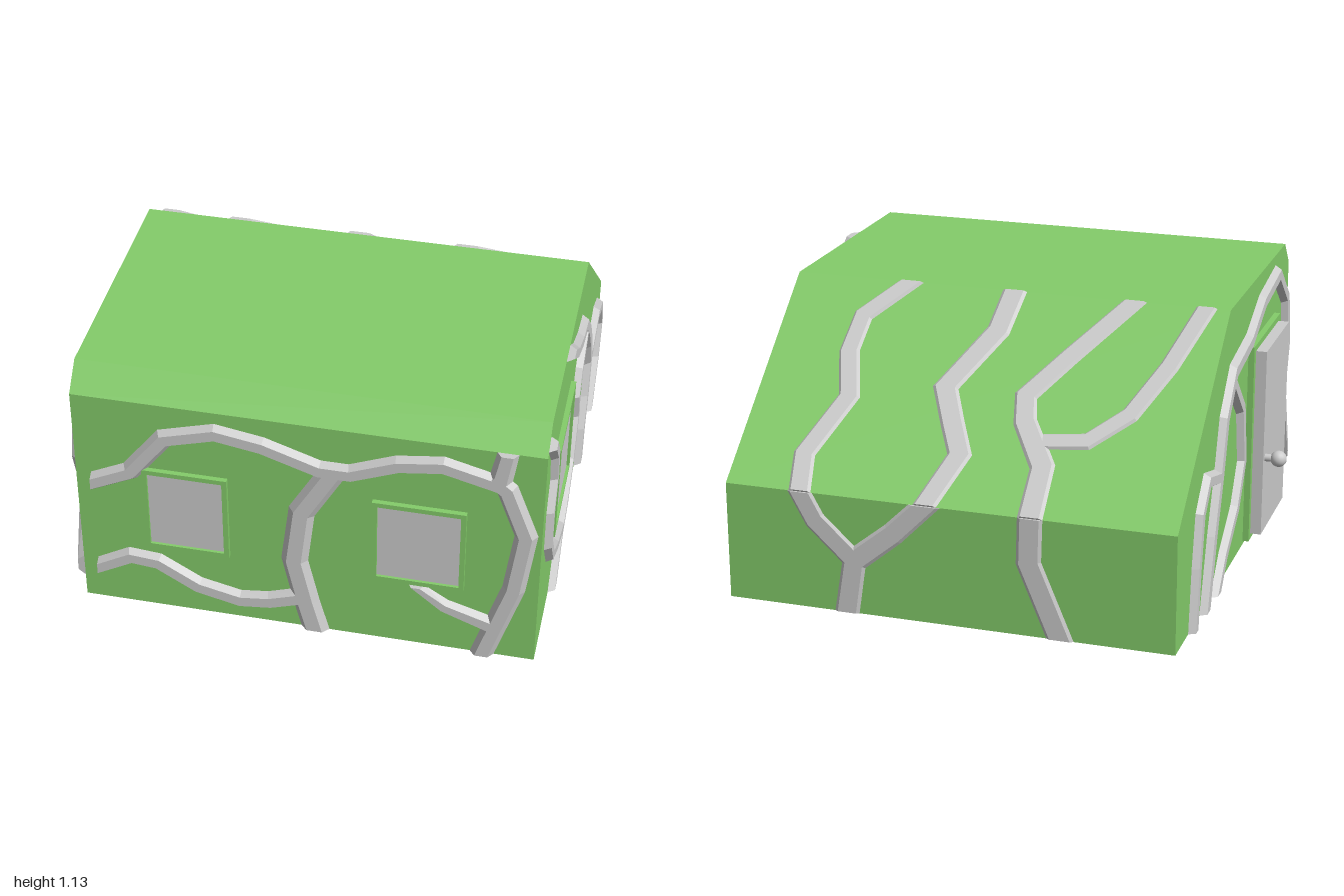
import * as THREE from 'three';

const green = new THREE.MeshStandardMaterial({ color: 0x84cc6a });
green.name = 'leafGreen';
const grey = new THREE.MeshStandardMaterial({ color: 0xcccccc });
grey.name = 'stoneGrey';

function add(parent, name, geometry, material, x = 0, y = 0, z = 0) {
  const mesh = new THREE.Mesh(geometry, material);
  mesh.name = name;
  mesh.position.set(x, y, z);
  parent.add(mesh);
  return mesh;
}

// Raised ribbon with bevelled sides along a 2D path; ends are cut square,
// horizontally ('h') or vertically ('v').
function vineGeometry(path, w0, w1, height, ratio, cutA, cutB) {
  const p = path.map(([x, y]) => new THREE.Vector2(x, y));
  const last = p.length - 1;
  const side = (i) => {
    const t = p[i + 1].clone().sub(p[i]).normalize();
    return new THREE.Vector2(-t.y, t.x);
  };
  const pos = [];
  p.forEach((c, i) => {
    const n = side(Math.min(i, last - 1));
    let d = n.clone();
    if (i > 0 && i < last) d.add(side(i - 1)).normalize();
    const cut = i === 0 ? cutA : i === last ? cutB : null;
    if (cut === 'h') d.set(Math.sign(n.x) || 1, 0);
    if (cut === 'v') d.set(0, Math.sign(n.y) || 1);
    const half = (w0 + (w1 - w0) * (i / last)) / 2;
    d.multiplyScalar(half / Math.max(0.6, d.dot(n)));
    for (const [s, z] of [[1, 0], [ratio, height], [-ratio, height], [-1, 0]]) {
      pos.push(c.x + d.x * s, c.y + d.y * s, z);
    }
  });
  const index = [];
  const quad = (a, b, c, d) => index.push(a, b, c, a, c, d);
  for (let i = 0; i < last; i++) {
    for (let j = 0; j < 3; j++) {
      const a = i * 4 + j;
      quad(a, a + 1, a + 5, a + 4);
    }
  }
  const e = last * 4;
  quad(0, 3, 2, 1);
  quad(e, e + 1, e + 2, e + 3);
  const indexed = new THREE.BufferGeometry();
  indexed.setAttribute('position', new THREE.Float32BufferAttribute(pos, 3));
  indexed.setIndex(index);
  const g = indexed.toNonIndexed();
  g.computeVertexNormals();
  return g;
}

// Green rim with a rectangular opening
function rimGeometry(w, h, border, depth) {
  const rect = (T, a, b) => new T([[-a, -b], [a, -b], [a, b], [-a, b]].map(([x, y]) => new THREE.Vector2(x, y)));
  const shape = rect(THREE.Shape, w / 2, h / 2);
  shape.holes.push(rect(THREE.Path, w / 2 - border, h / 2 - border));
  return new THREE.ExtrudeGeometry(shape, { depth, bevelEnabled: false });
}

function addWindow(wall, x, y, w, h) {
  const g = new THREE.Group();
  g.name = 'window';
  g.position.set(x, y, 0);
  add(g, 'windowFrame', rimGeometry(w, h, 0.02, 0.02), green);
  add(g, 'windowPane', new THREE.BoxGeometry(w - 0.04, h - 0.04, 0.008), grey, 0, 0, 0.005);
  wall.add(g);
}

// Vines: [path, startWidth, endWidth, startCut, endCut]
const frontVines = [
  [[[-0.78, 0.605], [-0.62, 0.685], [-0.48, 0.87], [-0.28, 0.93], [-0.1, 0.9], [0.12, 0.825], [0.24, 0.825],
    [0.42, 0.9], [0.59, 0.925], [0.8, 0.87]], 0.08, 0.08, 'v', null],
  [[[0.77, 0.9], [0.83, 0.85], [0.91, 0.635], [0.875, 0.36], [0.765, 0]], 0.085, 0.09, null, 'h'],
  [[[0.18, 0.83], [0.05, 0.6], [0.02, 0.35], [0.065, 0.14], [0.1, 0]], 0.1, 0.11, null, 'h'],
  [[[-0.78, 0.165], [-0.64, 0.245], [-0.53, 0.235], [-0.37, 0.14], [-0.2, 0.1], [-0.08, 0.115], [0.05, 0.16]],
    0.075, 0.085, 'v', null],
  [[[0.825, 1.02], [0.8, 0.88]], 0.08, 0.09, 'h', null],
  [[[0.5, 0.31], [0.61, 0.225], [0.79, 0.16]], 0.04, 0.08, 'h', null],
];
// Side vines are listed as [z, y]
const leftVines = [
  [[[0.43, 1.12], [0.265, 1.005], [0.09, 0.93], [-0.07, 0.895], [-0.21, 0.765], [-0.32, 0.625], [-0.395, 0.48],
    [-0.37, 0.31], [-0.32, 0.17], [-0.3, 0]], 0.065, 0.09, 'h', 'h'],
  [[[-0.4, 0.48], [-0.635, 0.54], [-0.765, 0.49], [-0.845, 0.355], [-0.8, 0.19], [-0.665, 0]], 0.065, 0.06, null, 'h'],
  [[[-0.14, 0.845], [0.02, 0.74], [0.07, 0.645], [0.035, 0.52], [0.115, 0.35], [0.24, 0.23], [0.37, 0.18],
    [0.51, 0]], 0.065, 0.065, null, 'h'],
  [[[0.905, 1.06], [0.805, 0.94], [0.77, 0.8], [0.825, 0.675], [0.82, 0.505], [0.715, 0.355], [0.55, 0.26],
    [0.36, 0.19]], 0.06, 0.06, null, null],
];
const rightVines = [
  [[[-0.54, 0], [-0.45, 0.28], [-0.36, 0.5], [-0.29, 0.71], [-0.15, 0.86], [0.13, 0.9], [0.36, 1], [0.65, 1.04],
    [0.83, 0.89], [0.88, 0.68], [0.82, 0.48], [0.94, 0.15]], 0.085, 0.06, 'h', 'v'],
  [[[-0.73, 0], [-0.7, 0.25], [-0.66, 0.45], [-0.56, 0.55], [-0.38, 0.5]], 0.065, 0.065, 'h', null],
  [[[-0.19, 0.84], [0, 0.66], [0.05, 0.42], [-0.06, 0.25], [-0.25, 0.12], [-0.36, 0]], 0.065, 0.07, null, 'h'],
];
// Roof vines are listed as [x, z]
const roofVines = [
  [[[-0.745, -0.18], [-0.655, -0.4], [-0.55, -0.58], [-0.41, -0.685], [-0.24, -0.7]], 0.08, 0.07, 'h', null],
  [[[-0.455, -0.18], [-0.255, -0.4], [-0.125, -0.55], [-0.15, -0.64], [-0.265, -0.785], [-0.27, -0.96]],
    0.08, 0.1, 'h', 'h'],
  [[[0.04, -0.18], [0.06, -0.33], [0.205, -0.55], [0.135, -0.67], [0.07, -0.775], [0.15, -0.96]], 0.1, 0.09, 'h', 'h'],
  [[[0.48, -0.18], [0.635, -0.32], [0.645, -0.455], [0.585, -0.615], [0.69, -0.83], [0.66, -0.96]], 0.08, 0.09, 'h', 'h'],
];
const backVines = [
  [[[-0.27, 0.48], [-0.265, 0.3], [-0.39, 0]], 0.1, 0.1, 'h', 'h'],
  [[[0.15, 0.48], [0.28, 0.35], [0.44, 0.22], [0.475, 0]], 0.09, 0.1, 'h', 'h'],
  [[[0.66, 0.48], [0.6, 0.37], [0.44, 0.22]], 0.09, 0.09, 'h', null],
];

export function createModel() {
  const model = new THREE.Group();
  model.name = 'cottage';

  // Body: side profile extruded across the width
  const profile = [[0.94, 0], [0.94, 1.02], [0.85, 1.12], [-0.18, 1.12], [-0.96, 0.48], [-0.96, 0]];
  const shape = new THREE.Shape(profile.map(([z, y]) => new THREE.Vector2(-z, y)));
  const body = new THREE.ExtrudeGeometry(shape, { depth: 1.81, bevelEnabled: false });
  body.rotateY(Math.PI / 2);
  add(model, 'body', body, green, -0.84, 0, 0);

  // Each wall is a group whose local z points outwards
  const wall = (name, position, rotX, rotY, vines, map, height, ratio) => {
    const g = new THREE.Group();
    g.name = name;
    g.position.set(...position);
    g.rotation.set(rotX, rotY, 0, 'YXZ');
    for (const [path, w0, w1, a, b] of vines) {
      add(g, 'vine', vineGeometry(path.map(map), w0, w1, height, ratio, a, b), grey);
    }
    model.add(g);
    return g;
  };
  const flip = ([u, v]) => [-u, v];
  const same = (q) => q;
  const slope = Math.hypot(0.78, 0.64);
  const front = wall('frontWall', [0, 0, 0.94], 0, 0, frontVines, same, 0.026, 0.55);
  const left = wall('leftWall', [0.97, 0, 0], 0, Math.PI / 2, leftVines, flip, 0.028, 0.55);
  const right = wall('rightWall', [-0.84, 0, 0], 0, -Math.PI / 2, rightVines, same, 0.028, 0.55);
  wall('backWall', [0, 0, -0.96], 0, Math.PI, backVines, flip, 0.008, 0.75);
  wall('slopedRoof', [0, 0.48, -0.96], -Math.atan2(0.78, 0.64), Math.PI, roofVines,
    ([x, z]) => [-x, (z + 0.96) / 0.78 * slope], 0.01, 0.75);

  // Windows
  addWindow(front, -0.405, 0.515, 0.335, 0.39);
  addWindow(front, 0.505, 0.515, 0.36, 0.39);
  addWindow(left, -0.428, 0.603, 0.435, 0.435);

  // Door with its frame and knob
  const door = new THREE.Group();
  door.name = 'door';
  add(door, 'doorFrame', new THREE.BoxGeometry(0.5, 0.85, 0.03), green, 0.42, 0.44, 0.01);
  add(door, 'doorPanel', new THREE.BoxGeometry(0.44, 0.8, 0.07), grey, 0.42, 0.44, 0.035);
  const stem = new THREE.CylinderGeometry(0.016, 0.016, 0.05, 12);
  stem.rotateX(Math.PI / 2);
  add(door, 'knobStem', stem, grey, 0.24, 0.37, 0.09);
  add(door, 'knob', new THREE.SphereGeometry(0.034, 16, 12), grey, 0.24, 0.37, 0.126);
  right.add(door);

  return model;
}
